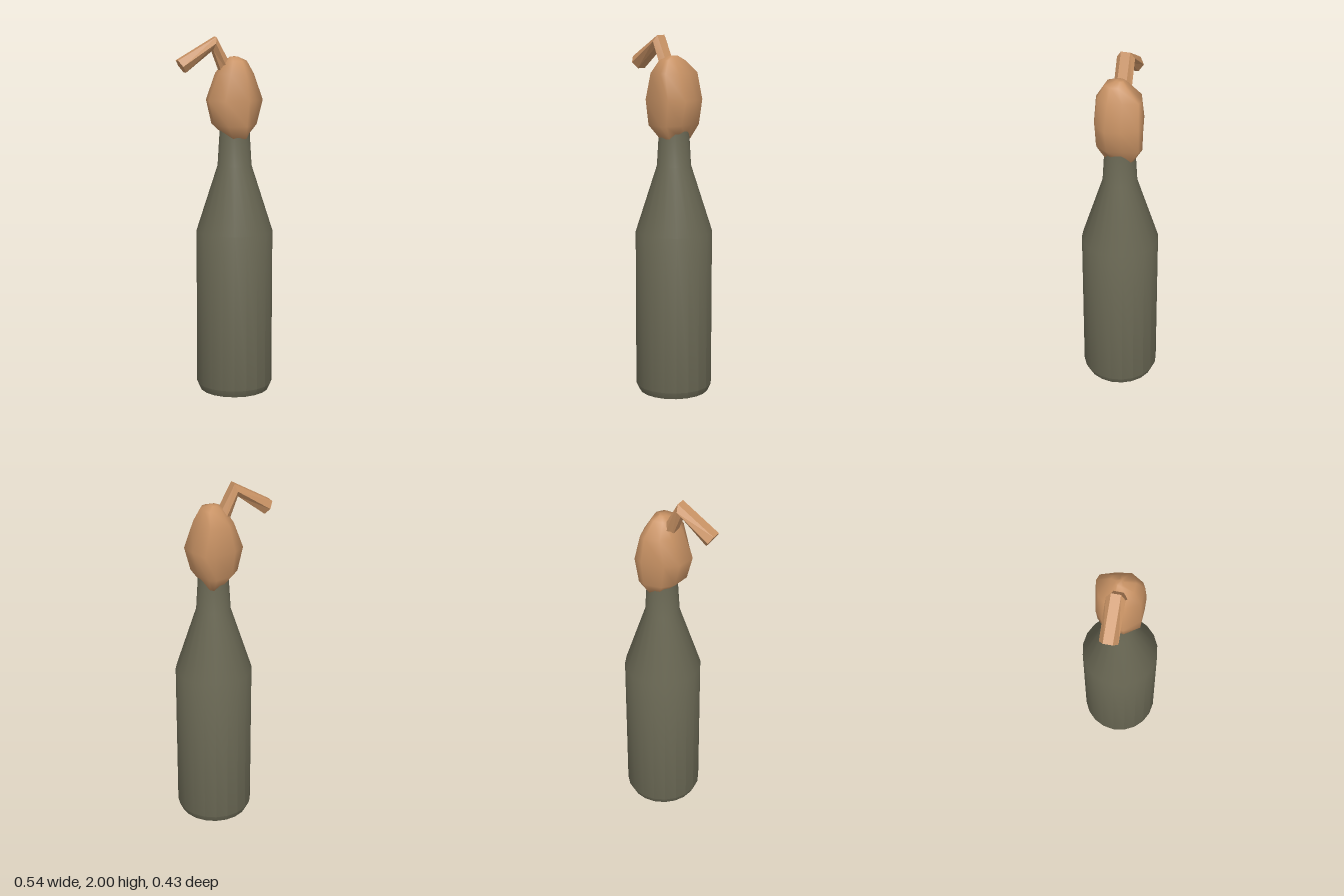
import * as THREE from 'three';
import { toCreasedNormals } from 'three/addons/utils/BufferGeometryUtils.js';

// Skin closed rings of points (listed bottom to top), capping both ends.
function loft(rings) {
  const n = rings[0].length, pos = [], idx = [];
  rings.forEach(r => r.forEach(p => pos.push(...p)));
  for (let k = 0; k < rings.length - 1; k++) {
    for (let i = 0; i < n; i++) {
      const a = k * n + i, b = k * n + (i + 1) % n;
      idx.push(a, b, a + n, b, b + n, a + n);
    }
  }
  const top = (rings.length - 1) * n;
  for (let i = 1; i < n - 1; i++) {
    idx.push(0, i + 1, i);
    idx.push(top, top + i, top + i + 1);
  }
  const g = new THREE.BufferGeometry();
  g.setAttribute('position', new THREE.Float32BufferAttribute(pos, 3));
  g.setIndex(idx);
  g.computeVertexNormals();
  return g;
}

export function createModel() {
  const model = new THREE.Group();
  const glass = new THREE.MeshStandardMaterial({ color: 0x6b6955 });
  glass.name = 'olive glass';
  const cork = new THREE.MeshStandardMaterial({ color: 0xc89264 });
  cork.name = 'tan';
  const add = (name, geometry, material) => {
    const mesh = new THREE.Mesh(geometry, material);
    mesh.name = name;
    model.add(mesh);
    return mesh;
  };
  const axisX = 0.058;

  // Bottle: twenty-sided turned profile with crisp shoulder edges
  const profile = [[0, 0], [0.195, 0], [0.214, 0.04], [0.214, 0.92], [0.095, 1.29], [0.083, 1.49], [0, 1.49]]
    .map(([r, y]) => new THREE.Vector2(r, y));
  const bottle = add('bottle', toCreasedNormals(new THREE.LatheGeometry(profile, 20), 0.5), glass);
  bottle.position.x = axisX;

  // Bulb: irregular outline (x, z), counter-clockwise from above
  const outline = [[0.207, 0.045], [0.19, -0.04], [0.15, -0.125], [0.1, -0.138], [-0.025, -0.112],
    [-0.09, -0.06], [-0.105, 0.045], [-0.035, 0.125], [0.1, 0.13], [0.145, 0.115]];
  // Each ring: height, x scale, z scale, x shift, z shift, drop towards front and back
  const bulbRings = [
    [1.475, 0.42, 0.6, 0.015, 0, 0.04],
    [1.525, 0.78, 0.96, 0, 0, 0.01],
    [1.655, 1, 1, 0, 0, 0],
    [1.8, 0.65, 0.93, 0.003, 0, 0],
    [1.87, 0.38, 0.48, 0.006, 0.015, 0],
    [1.892, 0.13, 0.15, 0.003, 0, 0],
  ].map(([y, sx, sz, dx, dz, drop]) => outline.map(([x, z]) => [
    0.05 + (x - 0.05) * sx + dx,
    y - drop * Math.abs(z) / 0.138,
    z * sz + dz,
  ]));
  add('bulb', loft(bulbRings), cork);

  // Bent spout: hexagonal tube through three sections, mitred at the elbow
  // Each section: centre x, y and half-width vector across the flats
  const spoutRings = [
    [0.022, 1.782, 0.034, 0.01],
    [-0.064, 1.965, 0.009, 0.035],
    [-0.25, 1.842, -0.022, 0.033],
  ].map(([x, y, hx, hy]) => [[1, 0.025], [1, -0.025], [0, -0.049], [-1, -0.025], [-1, 0.025], [0, 0.049]]
    .map(([s, z]) => [x + hx * s, y + hy * s, z]));
  add('spout', toCreasedNormals(loft(spoutRings), 0.2), cork);

  return model;
}
